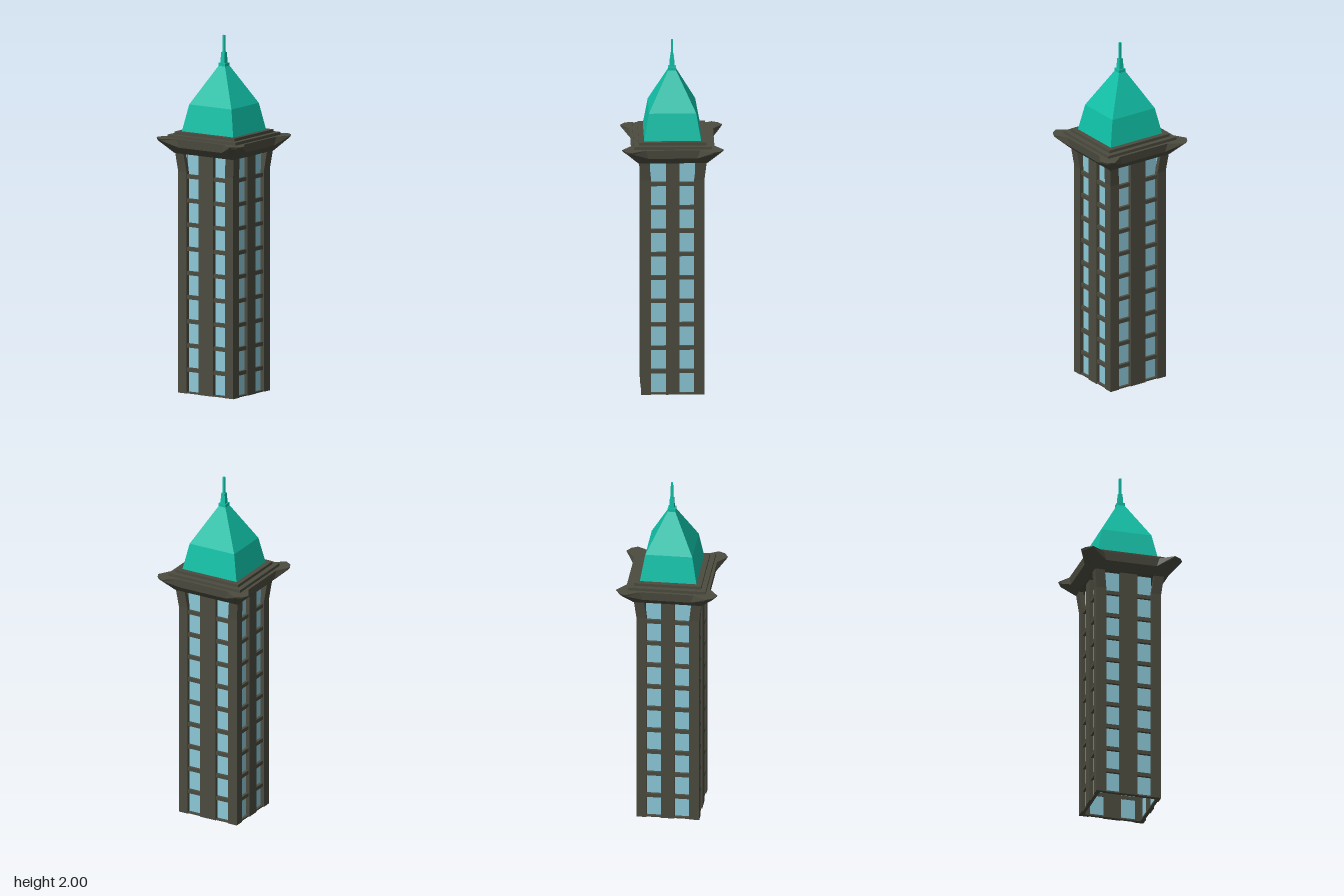
import * as THREE from 'three';

const stone = new THREE.MeshStandardMaterial({ color: 0x4b4b3f, flatShading: true });
const copper = new THREE.MeshStandardMaterial({ color: 0x10bfa6, flatShading: true });
const glass = new THREE.MeshStandardMaterial({ color: 0x8cc8d8, side: THREE.DoubleSide });

const HX = 0.175, HZ = 0.186;      // half width and half depth of the shaft
const WALL = 0.025;                // wall thickness
const TOP = 1.345;                 // height of the shaft
const ROWS = 10, PITCH = 0.1355;   // window rows

// Closed solid through rings of [x, y, z] points
function loft(rings) {
  const pos = [];
  const tri = (...pts) => pts.forEach(p => pos.push(...p));
  const n = rings[0].length;
  const first = rings[0], last = rings[rings.length - 1];
  for (let i = 0; i < n; i++) {
    const j = (i + 1) % n;
    for (let r = 0; r < rings.length - 1; r++) {
      const a = rings[r], b = rings[r + 1];
      tri(a[i], b[i], a[j]);
      tri(a[j], b[i], b[j]);
    }
    tri([0, first[0][1], 0], first[i], first[j]);
    tri([0, last[0][1], 0], last[j], last[i]);
  }
  const geo = new THREE.BufferGeometry();
  geo.setAttribute('position', new THREE.Float32BufferAttribute(pos, 3));
  geo.computeVertexNormals();
  return geo;
}

// Mirrors the points of one corner into a full ring
function ring(corner) {
  const out = [];
  [[1, 1], [-1, 1], [-1, -1], [1, -1]].forEach(([sx, sz], q) => {
    const pts = corner.map(([x, y, z]) => [x * sx, y, z * sz]);
    out.push(...(q % 2 ? pts.reverse() : pts));
  });
  return out;
}

// Rectangular tapering block from [halfX, y, halfZ] levels
const block = levels => loft(levels.map(l => ring([l])));

export function createModel() {
  const model = new THREE.Group();
  const add = (parent, name, geo, mat, x = 0, y = 0, z = 0) => {
    const mesh = new THREE.Mesh(geo, mat);
    mesh.name = name;
    mesh.position.set(x, y, z);
    parent.add(mesh);
    return mesh;
  };

  // L-shaped corner pillars, flared at the top
  const IX = 0.119, IZ = 0.13;
  for (const sx of [1, -1]) for (const sz of [1, -1]) {
    const outline = [[HX, HZ], [IX, HZ], [IX, HZ - WALL], [HX - WALL, HZ - WALL], [HX - WALL, IZ], [HX, IZ]];
    const shape = new THREE.Shape(outline.map(([x, z]) => new THREE.Vector2(x * sx, -z * sz)));
    const geo = new THREE.ExtrudeGeometry(shape, { depth: TOP, steps: 13, bevelEnabled: false });
    geo.rotateX(-Math.PI / 2);
    const p = geo.attributes.position;
    for (let i = 0; i < p.count; i++) {
      if (p.getY(i) > 1.3) p.setXYZ(i, p.getX(i) + 0.012 * sx, p.getY(i), p.getZ(i) + 0.012 * sz);
    }
    geo.computeVertexNormals();
    add(model, 'cornerPillar', geo, stone);
  }

  // Four walls: centre pillar, two glazed bays, and a sill under every window
  const walls = [
    { angle: 0, dist: HZ, inner: 0.037, outer: IX },
    { angle: Math.PI / 2, dist: HX, inner: 0.05, outer: IZ },
    { angle: Math.PI, dist: HZ, inner: 0.037, outer: IX },
    { angle: -Math.PI / 2, dist: HX, inner: 0.05, outer: IZ },
  ];
  for (const { angle, dist, inner, outer } of walls) {
    const wall = new THREE.Group();
    wall.name = 'wall';
    wall.rotation.y = angle;
    model.add(wall);
    add(wall, 'centrePillar', new THREE.BoxGeometry(inner * 2, TOP, WALL), stone, 0, TOP / 2, dist - WALL / 2);
    const w = outer - inner;
    for (const side of [1, -1]) {
      const x = side * (inner + outer) / 2;
      add(wall, 'windowGlass', new THREE.PlaneGeometry(w + 0.01, TOP), glass, x, TOP / 2, dist - 0.022);
      for (let r = 0; r < ROWS; r++) {
        const low = r ? r * PITCH - 0.013 : 0;
        const high = r * PITCH + 0.009;
        add(wall, 'windowSill', new THREE.BoxGeometry(w, high - low, 0.018), stone,
          x, (low + high) / 2, dist - 0.015);
      }
    }
  }

  // Cornice with upturned horns at the corners
  const cornice = loft([
    ring([[0.19, TOP, 0.14], [0.19, TOP, 0.176], [0.19, TOP, 0.2], [0.166, TOP, 0.2], [0.13, TOP, 0.2]]),
    ring([[0.227, 1.385, 0.145], [0.277, 1.423, 0.23], [0.256, 1.42, 0.268], [0.221, 1.423, 0.286], [0.135, 1.385, 0.243]]),
    ring([[0.231, 1.433, 0.16], [0.283, 1.433, 0.234], [0.26, 1.433, 0.272], [0.225, 1.433, 0.291], [0.15, 1.433, 0.247]]),
  ]);
  add(model, 'cornice', cornice, stone);

  // Stepped plinth under the roof
  add(model, 'lowerStep', block([[0.215, 1.43, 0.23], [0.215, 1.449, 0.23]]), stone);
  add(model, 'upperStep', block([[0.187, 1.445, 0.202], [0.187, 1.465, 0.202]]), stone);

  // Two-pitch roof and finial
  add(model, 'roof', block([[0.158, 1.463, 0.174], [0.131, 1.615, 0.143], [0.018, 1.835, 0.018]]), copper);
  add(model, 'finialBase', block([[0.022, 1.828, 0.022], [0.022, 1.845, 0.022]]), copper);
  add(model, 'finialPost', block([[0.015, 1.843, 0.015], [0.011, 1.905, 0.011]]), copper);
  add(model, 'finialSpire', block([[0.007, 1.9, 0.007], [0.006, 2, 0.006]]), copper);

  return model;
}
